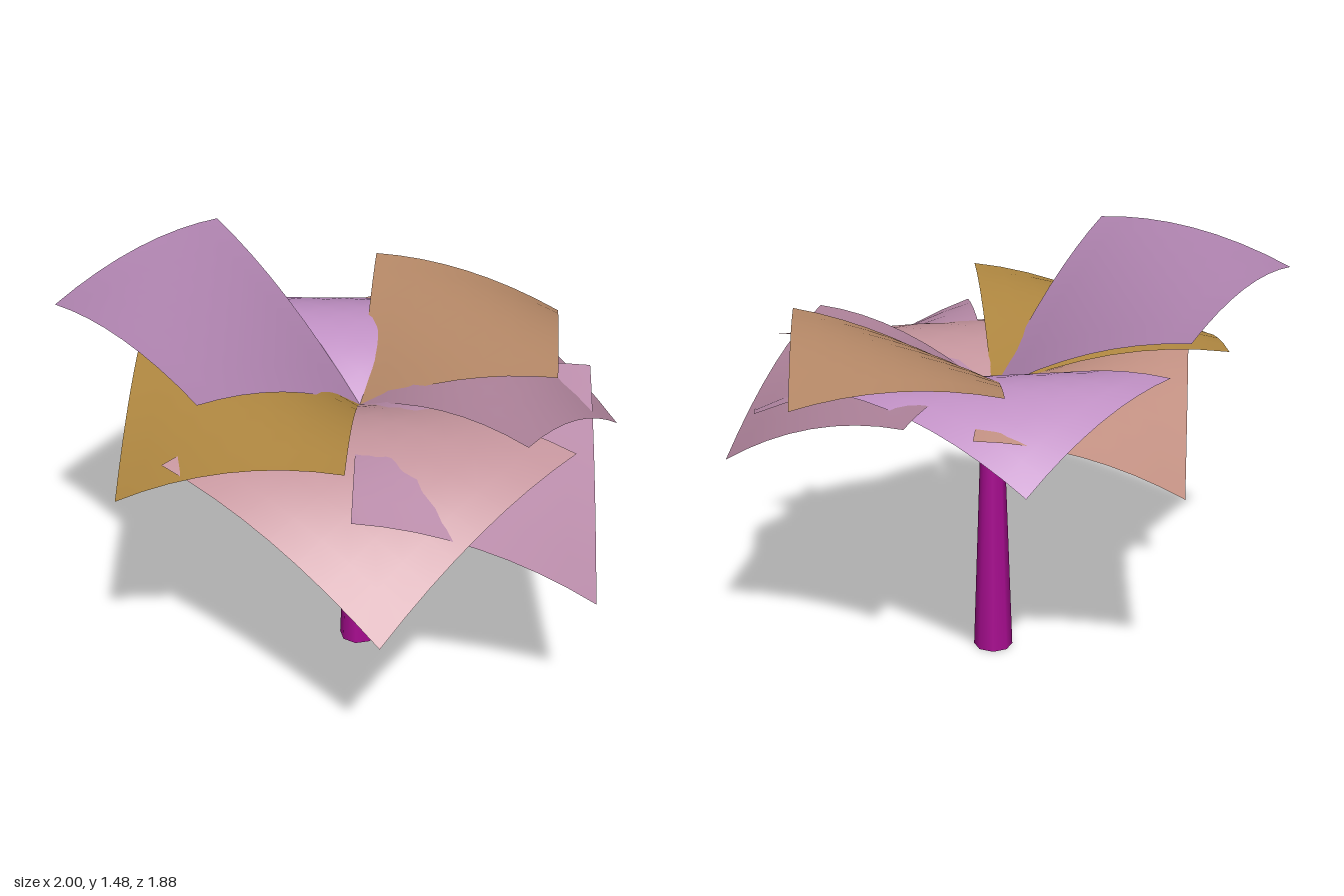
import * as THREE from 'three';

const TRUNK_X = 0.07, TRUNK_Z = -0.10, CROWN_Y = 1.02, SEGMENTS = 8;

// tip: outer corner, w: half width across the side corners,
// mid and end: heights of the side corners and of the tip
const LEAVES = [
  { name: 'leftRaisedLeaf', tip: [-1.0, 0.08], w: 0.73, mid: 1.43, end: 1.43, color: 0xb487b4 },
  { name: 'backRightLeaf', tip: [0.74, -0.68], w: 0.59, mid: 1.28, end: 1.17, color: 0xb98b69 },
  { name: 'frontLeftLeaf', tip: [-0.68, 0.58], w: 0.676, mid: 1.23, end: 0.945, color: 0xb38a42 },
  { name: 'frontLeaf', tip: [0.30, 0.94], w: 0.712, mid: 1.105, end: 0.69, color: 0xc4949c },
  { name: 'frontRightLeaf', tip: [0.99, 0.43], w: 0.708, mid: 1.07, end: 0.60, color: 0xbc8eac },
  { name: 'rightLeaf', tip: [1.0, -0.38], w: 0.647, mid: 1.18, end: 0.87, color: 0xb0849c },
  { name: 'backLeaf', tip: [-0.05, -0.94], w: 0.56, mid: 1.20, end: 0.97, color: 0xc090c4 },
  { name: 'backLeftLeaf', tip: [-0.59, -0.65], w: 0.6, mid: 1.13, end: 0.84, color: 0xc49284 },
];

// A diamond sheet with one corner on the trunk, arched along its diagonal
function makeLeaf({ name, tip, w, mid, end, color }) {
  const dx = tip[0] - TRUNK_X, dz = tip[1] - TRUNK_Z;
  const length = Math.hypot(dx, dz);
  const sideX = -dz / length * w, sideZ = dx / length * w;

  // parabola through the trunk, side corner and tip heights
  const b = 2 * (end - CROWN_Y) - 4 * (mid - CROWN_Y);
  const a = end - CROWN_Y - b;

  const geometry = new THREE.PlaneGeometry(1, 1, SEGMENTS, SEGMENTS);
  const pos = geometry.attributes.position;
  for (let i = 0; i < pos.count; i++) {
    const u = pos.getX(i) + 0.5, v = pos.getY(i) + 0.5;
    const s = (u + v) / 2, t = v - u;
    pos.setXYZ(i, TRUNK_X + dx * s - sideX * t, CROWN_Y + a * s + b * s * s, TRUNK_Z + dz * s - sideZ * t);
  }
  // the mapping keeps the upper side as the front of the sheet
  geometry.computeVertexNormals();
  const mesh = new THREE.Mesh(geometry, new THREE.MeshStandardMaterial({ color, side: THREE.DoubleSide }));
  mesh.name = name;
  return mesh;
}

export function createModel() {
  const model = new THREE.Group();
  model.name = 'tree';

  // Tapered trunk
  const trunk = new THREE.Mesh(
    new THREE.CylinderGeometry(0.037, 0.072, CROWN_Y, 8),
    new THREE.MeshStandardMaterial({ color: 0xa80c90 })
  );
  trunk.name = 'trunk';
  trunk.position.set(TRUNK_X, CROWN_Y / 2, TRUNK_Z);
  model.add(trunk);

  // Crown of arched leaves
  const crown = new THREE.Group();
  crown.name = 'crown';
  LEAVES.forEach((leaf) => crown.add(makeLeaf(leaf)));
  model.add(crown);

  return model;
}
